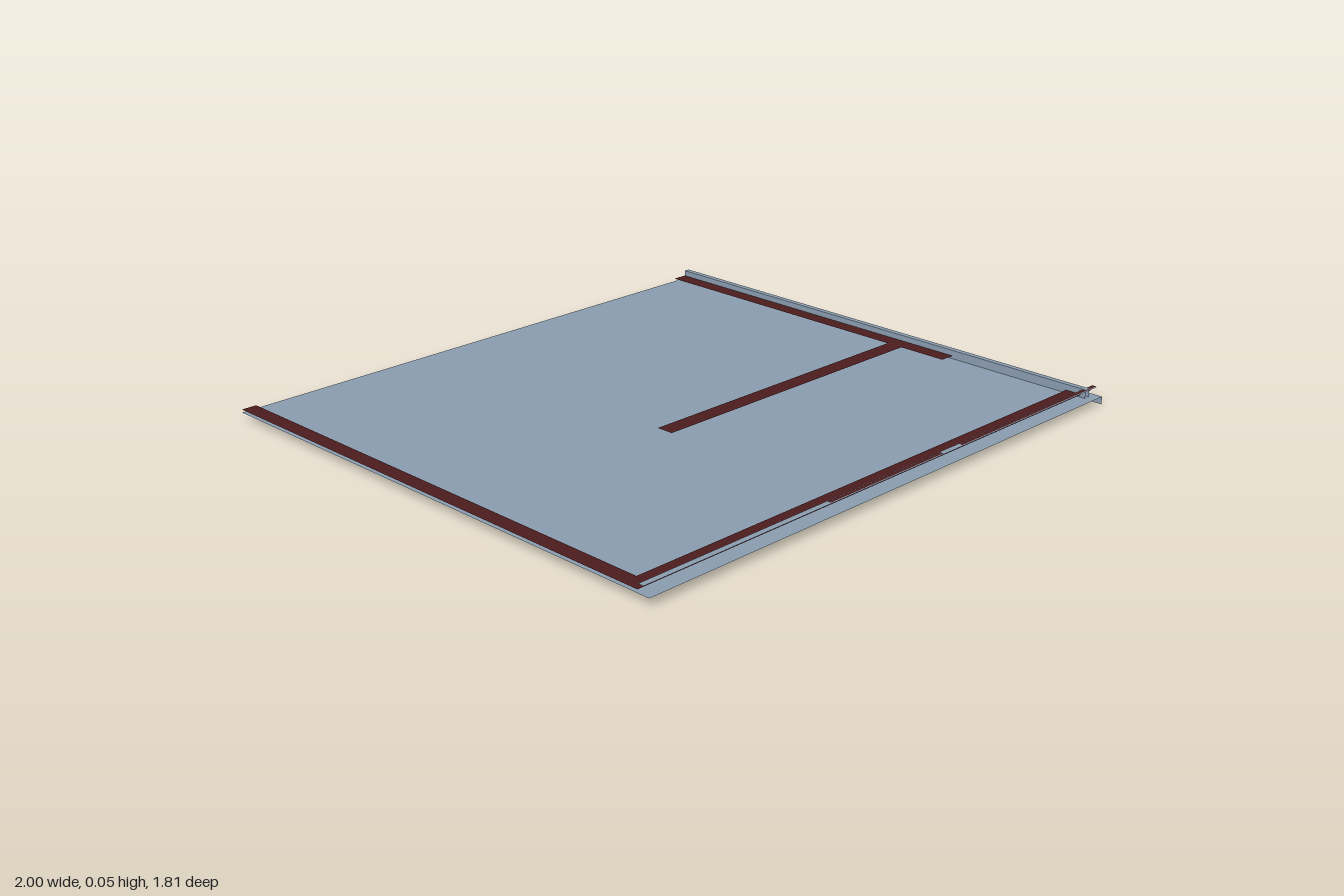
import * as THREE from 'three';

const slate = new THREE.MeshStandardMaterial({ color: 0x889bae, side: THREE.DoubleSide });
slate.name = 'slate';
const maroon = new THREE.MeshStandardMaterial({ color: 0x4b1c1d, side: THREE.DoubleSide });
maroon.name = 'maroon';

const FLOOR = 0.026, STRIP = 0.036, TOP = 0.055, Z = 0.903;

export function createModel() {
  const model = new THREE.Group();

  function add(name, geometry, material) {
    const mesh = new THREE.Mesh(geometry, material);
    mesh.name = name;
    model.add(mesh);
  }

  // Horizontal sheet
  function sheet(name, x0, x1, z0, z1, y, material) {
    add(name, new THREE.PlaneGeometry(x1 - x0, z1 - z0)
      .rotateX(-Math.PI / 2)
      .translate((x0 + x1) / 2, y, (z0 + z1) / 2), material);
  }

  // Upright sheet along z at a given x
  function upright(name, x, z0, z1, y0, y1) {
    add(name, new THREE.PlaneGeometry(z1 - z0, y1 - y0)
      .rotateY(Math.PI / 2)
      .translate(x, (y0 + y1) / 2, (z0 + z1) / 2), slate);
  }

  // Main floor
  sheet('floor', -1, 1, -Z, Z, FLOOR, slate);

  // Dark flat strips
  sheet('outerSideStrip', -1, -0.948, -Z, 0.803, STRIP, maroon);
  sheet('frontStrip', -1, 1, 0.803, 0.86, STRIP, maroon);
  sheet('innerSideStrip', 0.893, 0.947, -Z, 0.35, STRIP, maroon);
  sheet('dividerStrip', -0.197, 0.893, 0.117, 0.176, STRIP, maroon);

  // Stepped edge along the side
  upright('sideFascia', 1, -Z, Z, 0, FLOOR);
  upright('sideCurbOuter', 0.967, -Z, 0.875, FLOOR, TOP);
  upright('sideCurbInner', 0.947, -Z, 0.875, FLOOR, TOP);
  sheet('sideCurbCap', 0.947, 0.967, -Z, 0.875, TOP, slate);

  // Flat rail along the front with two dark inlays
  sheet('frontRail', -1, 1, 0.862, 0.882, TOP - 0.002, slate);
  for (const [x0, x1] of [[-0.28, 0.22], [0.31, 1]]) {
    sheet('frontInlay', x0, x1, 0.866, 0.878, TOP - 0.001, maroon);
  }

  return model;
}
